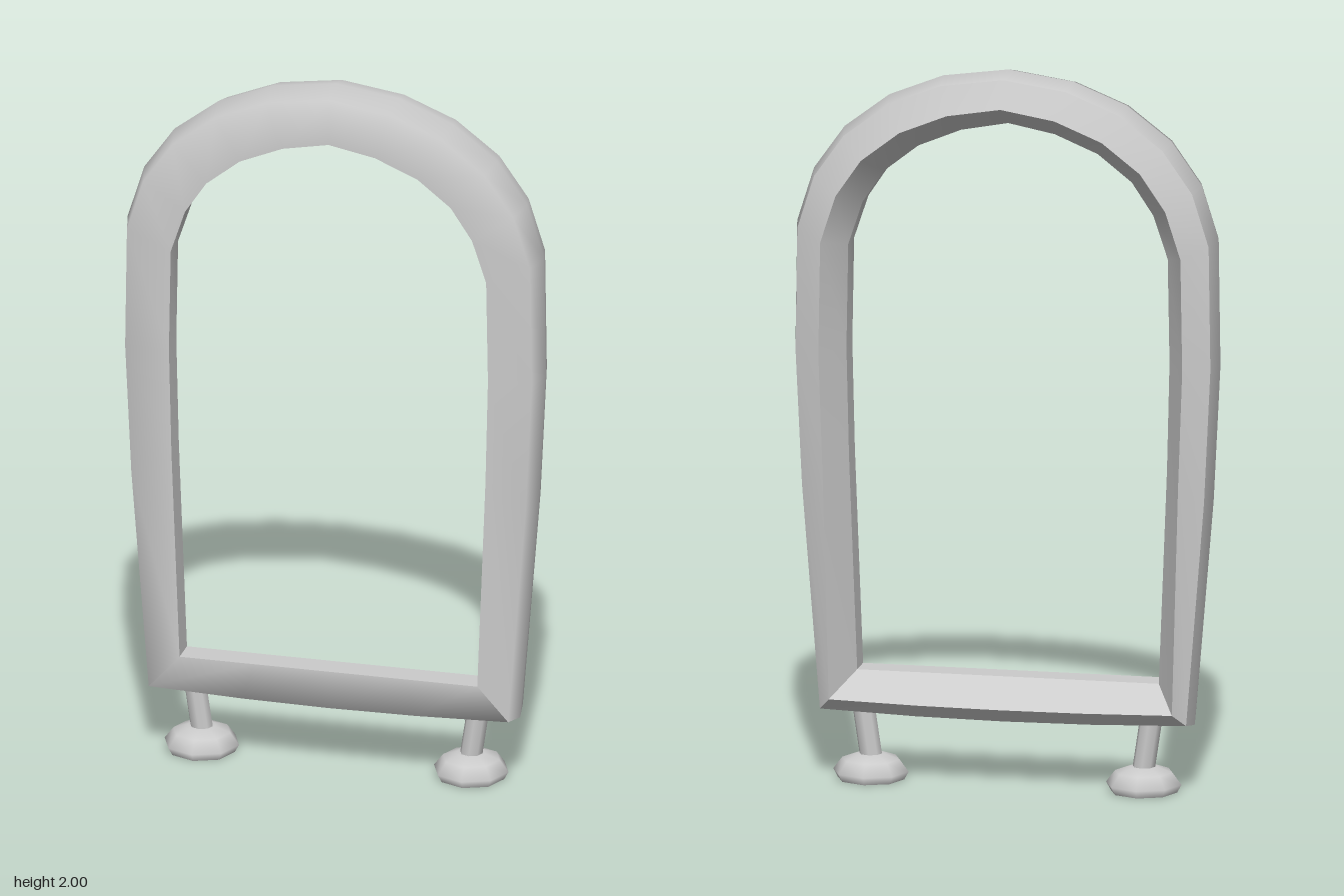
import * as THREE from 'three';

const material = new THREE.MeshStandardMaterial({ color: 0xcccccc, side: THREE.DoubleSide });

// Right half of the ring: [outer x, outer y, inner x, inner y], top to corner
const archHalf = [
  [0, 2.0, 0, 1.85], [0.18, 1.975, 0.13, 1.825], [0.33, 1.915, 0.25, 1.775],
  [0.455, 1.82, 0.345, 1.70], [0.54, 1.70, 0.405, 1.61], [0.587, 1.55, 0.445, 1.49],
  [0.592, 1.2, 0.45, 1.2], [0.573, 0.82, 0.443, 0.9], [0.52, 0.19, 0.42, 0.30],
];
// Bottom bar, corner to middle
const sillHalf = [[0.52, 0.19, 0.42, 0.30], [0.25, 0.18, 0.21, 0.30], [0, 0.177, 0, 0.30]];

const mirror = ([a, b, c, d]) => [-a, b, -c, d];
const archPath = [...archHalf.slice(1).reverse().map(mirror), ...archHalf];
const sillPath = [...sillHalf, ...sillHalf.slice(0, -1).reverse().map(mirror)];

// Cross-section: [fraction from outer to inner edge, z]
const backEdge = [0.1, -0.058], outer = [0, 0.008], frontOuter = [0.13, 0.086];
const frontInner = [1, 0.086], backInner = [1, 0.008], ridge = [0.6, -0.094];
// Each strip is smooth in itself, with sharp edges between strips
const strips = [
  [backEdge, outer, frontOuter, frontInner],
  [frontInner, backInner],
  [backInner, ridge],
  [ridge, backEdge],
];

function sweepStrip(path, strip) {
  const pos = [], index = [], n = strip.length;
  path.forEach(([ox, oy, ix, iy], i) => {
    strip.forEach((point, j) => {
      const t = point === ridge && oy < 0.25 ? 0.42 : point[0];
      pos.push(ox + (ix - ox) * t, oy + (iy - oy) * t, point[1]);
      if (i < path.length - 1 && j < n - 1) {
        const a = i * n + j, b = a + n;
        index.push(a, a + 1, b, a + 1, b + 1, b);
      }
    });
  });
  const geometry = new THREE.BufferGeometry();
  geometry.setAttribute('position', new THREE.Float32BufferAttribute(pos, 3));
  geometry.setIndex(index);
  geometry.computeVertexNormals();
  return geometry;
}

function makeBar(name, path) {
  const bar = new THREE.Group();
  bar.name = name;
  strips.forEach((strip, i) => {
    const mesh = new THREE.Mesh(sweepStrip(path, strip), material);
    mesh.name = ['frontSurface', 'innerSurface', 'innerBevel', 'backBevel'][i];
    bar.add(mesh);
  });
  return bar;
}

// Slanted post on an eight-sided domed pad, hollow underneath
function makeFoot(name, side) {
  const foot = new THREE.Group();
  foot.name = name;
  const bottom = new THREE.Vector3(side * 0.377, 0.045, 0);
  const top = new THREE.Vector3(side * 0.403, 0.22, 0);
  const axis = top.clone().sub(bottom);
  const post = new THREE.Mesh(new THREE.CylinderGeometry(0.031, 0.031, axis.length(), 8), material);
  post.name = 'post';
  post.position.copy(bottom).add(top).multiplyScalar(0.5);
  post.quaternion.setFromUnitVectors(new THREE.Vector3(0, 1, 0), axis.normalize());

  const dome = [[0.093, 0], [0.105, 0.022], [0.08, 0.055], [0.04, 0.069], [0, 0.071]];
  const hollow = [[0, 0.045], [0.05, 0.035], [0.093, 0]];
  [['pad', dome], ['padUnderside', hollow]].forEach(([label, profile]) => {
    const points = profile.map(([r, y]) => new THREE.Vector2(r, y));
    const mesh = new THREE.Mesh(new THREE.LatheGeometry(points, 8), material);
    mesh.name = label;
    mesh.position.x = side * 0.38;
    foot.add(mesh);
  });
  foot.add(post);
  return foot;
}

export function createModel() {
  const model = new THREE.Group();
  model.name = 'archedFrame';
  model.add(makeBar('arch', archPath), makeBar('sill', sillPath));
  model.add(makeFoot('leftFoot', 1), makeFoot('rightFoot', -1));
  return model;
}
